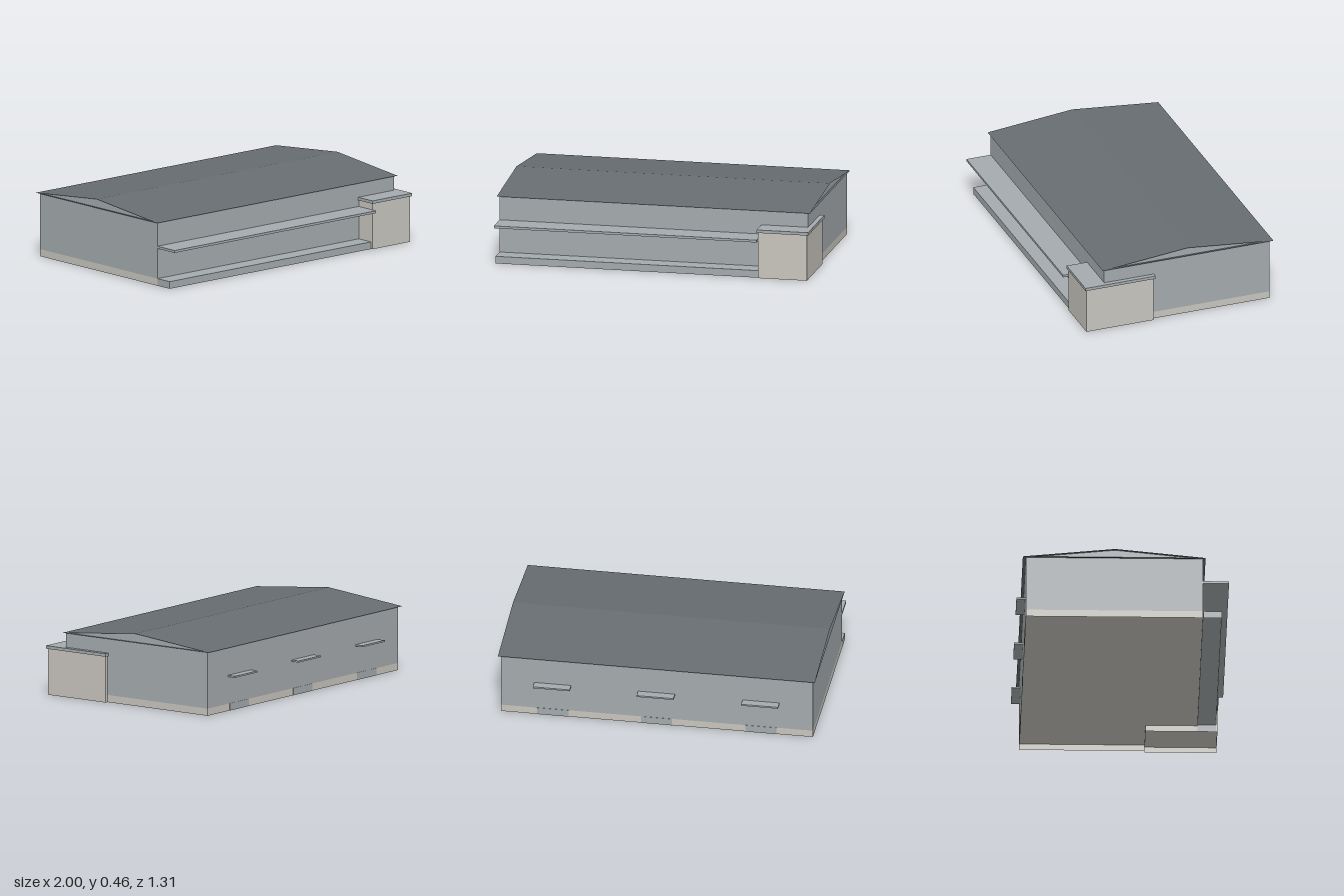
import * as THREE from 'three';

const wallGrey = new THREE.MeshStandardMaterial({ color: 0xa4aaad, side: THREE.DoubleSide });
wallGrey.name = 'wall grey';
const concrete = new THREE.MeshStandardMaterial({ color: 0xc8c5be, side: THREE.DoubleSide });
concrete.name = 'concrete beige';
const roofGrey = new THREE.MeshStandardMaterial({ color: 0x676d71, side: THREE.DoubleSide });
roofGrey.name = 'roof dark grey';

export function createModel() {
  const model = new THREE.Group();
  model.name = 'warehouse';

  const add = (name, geometry, material) => {
    const mesh = new THREE.Mesh(geometry, material);
    mesh.name = name;
    model.add(mesh);
    return mesh;
  };

  // Box given by its limits; open = true leaves out the bottom face
  const box = (name, material, [x0, x1], [y0, y1], [z0, z1], open = false) => {
    const g = new THREE.BoxGeometry(x1 - x0, y1 - y0, z1 - z0);
    if (open) {
      const index = Array.from(g.index.array);
      index.splice(18, 6);
      g.setIndex(index);
      g.clearGroups();
    }
    g.translate((x0 + x1) / 2, (y0 + y1) / 2, (z0 + z1) / 2);
    return add(name, g, material);
  };

  const L = -0.985, R = 0.97, back = -0.6, front = 0.495;
  const base = 0.045, eave = 0.4, ridge = 0.457, ridgeZ = -0.05;

  // Main hall with gabled ends, extruded along x
  const profile = new THREE.Shape([
    [front, base], [back, base], [back, eave], [ridgeZ, ridge - 0.002], [front, eave],
  ].map(([z, y]) => new THREE.Vector2(-z, y)));
  const hall = new THREE.ExtrudeGeometry(profile, { depth: R - L, bevelEnabled: false });
  hall.rotateY(Math.PI / 2).translate(L, 0, 0);
  add('hallWalls', hall, wallGrey);

  // Thin roof: two slopes and a flat soffit, open at the gable ends
  const roofLine = [[0.51, eave + 0.001], [ridgeZ, ridge], [-0.62, eave + 0.001]];
  ['frontRoofSlope', 'backRoofSlope', 'roofSoffit'].forEach((name, i) => {
    const [za, ya] = roofLine[i], [zb, yb] = roofLine[(i + 1) % 3];
    const g = new THREE.PlaneGeometry(1.985, Math.hypot(zb - za, yb - ya));
    g.rotateX(-Math.PI / 2).rotateX(Math.atan2(yb - ya, za - zb));
    g.translate(-0.0075, (ya + yb) / 2, (za + zb) / 2);
    add(name, g, roofGrey);
  });

  // Plinth walls around the hall, notched around the corner annex
  const outline = [[L, back], [R, back], [R, 0.175], [0.68, 0.175], [0.68, front], [L, front]];
  outline.forEach(([xa, za], i) => {
    const [xb, zb] = outline[(i + 1) % outline.length];
    const g = new THREE.PlaneGeometry(Math.hypot(xb - xa, zb - za), base);
    g.rotateY(Math.atan2(zb - za, -(xb - xa)));
    g.translate((xa + xb) / 2, base / 2, (za + zb) / 2);
    add('plinthWall', g, concrete);
  });
  box('hallFloor', concrete, [L, R], [0.04, 0.044], [back, front]);

  // Front loading step and the long canopy above it
  box('frontStep', wallGrey, [L, 0.679], [0, base], [0.496, 0.61], true);
  box('frontCanopy', wallGrey, [L, 0.68], [0.235, 0.25], [front, 0.655]);

  // Corner annex with an overhanging flat cap
  box('annexWalls', concrete, [0.68, 0.99], [0, 0.292], [0.175, 0.62], true);
  box('annexFloor', concrete, [0.681, 0.989], [0.035, 0.039], [0.176, 0.619]);
  box('annexCap', wallGrey, [0.674, 1], [0.29, 0.309], [0.167, 0.63]);

  // Back doorways: an awning above, and wall colour down to the ground
  for (const x of [-0.66, -0.005, 0.645]) {
    box('backAwning', wallGrey, [x - 0.115, x + 0.115], [0.214, 0.224], [-0.655, back]);
    box('backDoorFoot', wallGrey, [x - 0.098, x + 0.098], [0, base], [back - 0.002, back + 0.002]);
  }

  return model;
}
